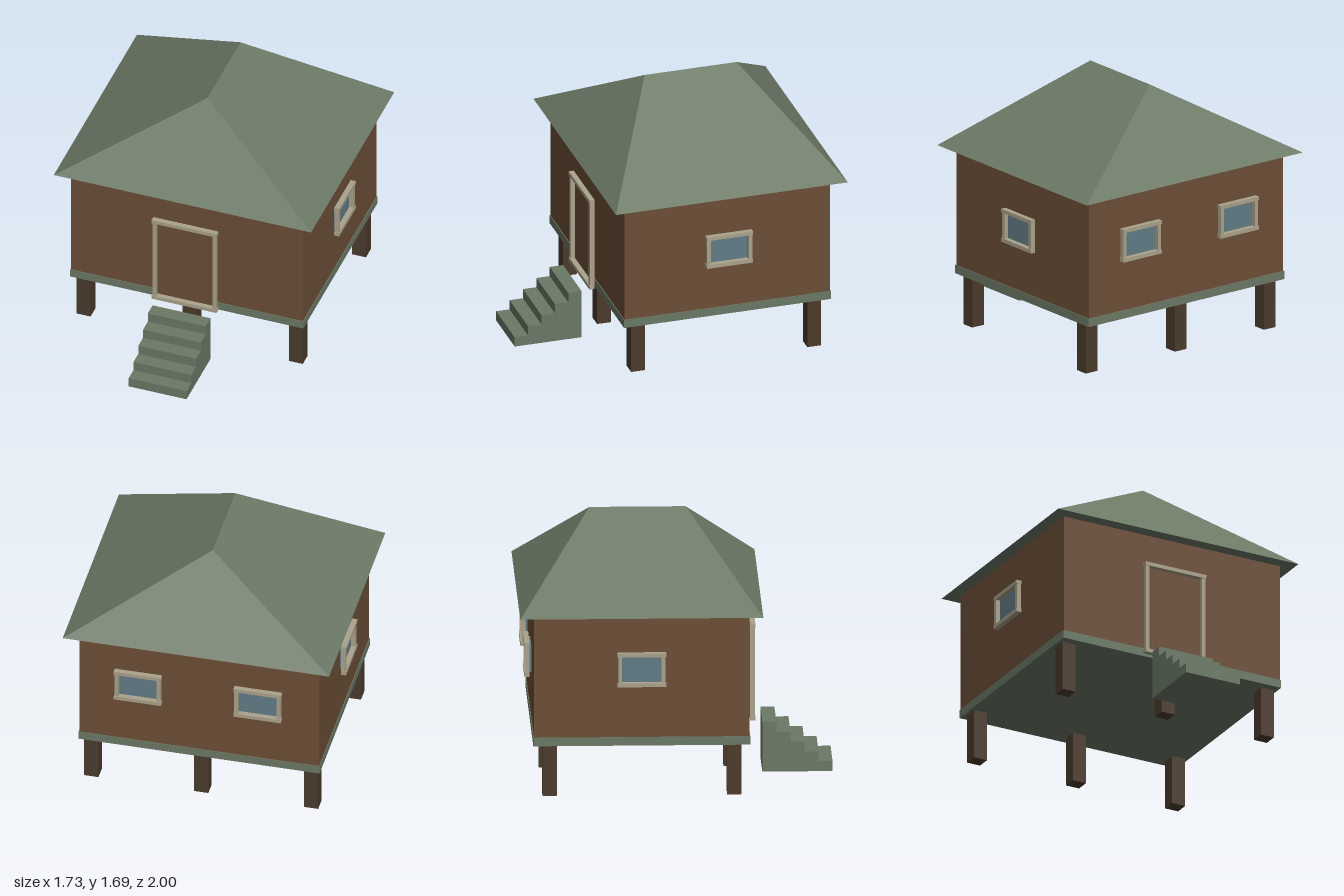
import * as THREE from 'three';

const material = (name, color) => {
  const m = new THREE.MeshStandardMaterial({ color });
  m.name = name;
  return m;
};

export function createModel() {
  const green = material('green paint', 0x6b7965);
  const brown = material('brown wall', 0x6c4e37);
  const darkWood = material('dark wood', 0x4b3b2c);
  const cream = material('cream trim', 0xaaa28b);
  const glass = material('blue glass', 0x627c86);

  const house = new THREE.Group();
  house.name = 'stiltHouse';

  const add = (parent, name, geometry, mat) => {
    const mesh = new THREE.Mesh(geometry, mat);
    mesh.name = name;
    parent.add(mesh);
    return mesh;
  };
  // Box given by its limits on each axis
  const box = (parent, name, mat, [x0, x1], [y0, y1], [z0, z1]) => {
    const mesh = add(parent, name, new THREE.BoxGeometry(x1 - x0, y1 - y0, z1 - z0), mat);
    mesh.position.set((x0 + x1) / 2, (y0 + y1) / 2, (z0 + z1) / 2);
    return mesh;
  };

  // Floor slab and walls
  box(house, 'floor', green, [-0.785, 0.785], [0.33, 0.385], [-0.915, 0.46]);
  box(house, 'walls', brown, [-0.78, 0.78], [0.34, 1.18], [-0.91, 0.455]);

  // Stilts, three along each of the front and back edges
  for (const z of [0.36, -0.81]) {
    for (const x of [-0.715, 0, 0.715]) {
      box(house, 'stilt', darkWood, [x - 0.047, x + 0.047], [0, 0.332], [z - 0.046, z + 0.046]);
    }
  }

  // Hipped roof with a closed underside
  const a = [-0.867, 1.18, 0.54], b = [0.867, 1.18, 0.54];
  const c = [0.867, 1.18, -1], d = [-0.867, 1.18, -1];
  const ridgeFront = [0, 1.69, 0.075], ridgeBack = [0, 1.69, -0.535];
  const triangles = [
    a, b, ridgeFront,
    c, d, ridgeBack,
    b, c, ridgeBack, b, ridgeBack, ridgeFront,
    d, a, ridgeFront, d, ridgeFront, ridgeBack,
    a, d, c, a, c, b,
  ];
  const roof = new THREE.BufferGeometry();
  roof.setAttribute('position', new THREE.Float32BufferAttribute(triangles.flat(), 3));
  roof.computeVertexNormals();
  add(house, 'roof', roof, green);

  // Staircase: a stepped side profile extruded across its width
  const steps = 5, rise = 0.065, tread = 0.089;
  const profile = new THREE.Shape();
  profile.moveTo(0, 0);
  for (let i = 0; i < steps; i++) {
    profile.lineTo(i * tread, (i + 1) * rise);
    profile.lineTo((i + 1) * tread, (i + 1) * rise);
  }
  profile.lineTo(steps * tread, 0);
  const stairGeometry = new THREE.ExtrudeGeometry(profile, { depth: 0.39, bevelEnabled: false });
  stairGeometry.rotateY(Math.PI / 2);
  add(house, 'stairs', stairGeometry, green).position.set(-0.195, 0, 1);

  // Framed opening facing +z: panel at the back, trim in front of it
  const opening = (name, w, h, panelMat, position, turn) => {
    const group = new THREE.Group();
    group.name = name;
    const x = w / 2, y = h / 2, t = 0.025;
    box(group, 'panel', panelMat, [-x + t, x - t], [-y + t, y - t], [0, 0.012]);
    for (const s of [-1, 1]) {
      const jamb = s * (x - t / 2), rail = s * (y - t / 2);
      box(group, 'jamb', cream, [jamb - t / 2, jamb + t / 2], [-y + t, y - t], [0.012, 0.042]);
      box(group, 'rail', cream, [-x - 0.004, x + 0.004], [rail - t / 2, rail + t / 2], [0.012, 0.046]);
    }
    group.position.set(...position);
    group.rotation.y = turn;
    house.add(group);
  };
  opening('door', 0.43, 0.63, brown, [0, 0.655, 0.465], 0);
  opening('leftWindow', 0.3, 0.22, glass, [0.787, 0.8, -0.228], Math.PI / 2);
  opening('rightWindow', 0.3, 0.22, glass, [-0.785, 0.833, -0.228], -Math.PI / 2);
  for (const x of [-0.39, 0.39]) {
    opening('backWindow', 0.3, 0.22, glass, [x, 0.833, -0.918], Math.PI);
  }

  return house;
}
